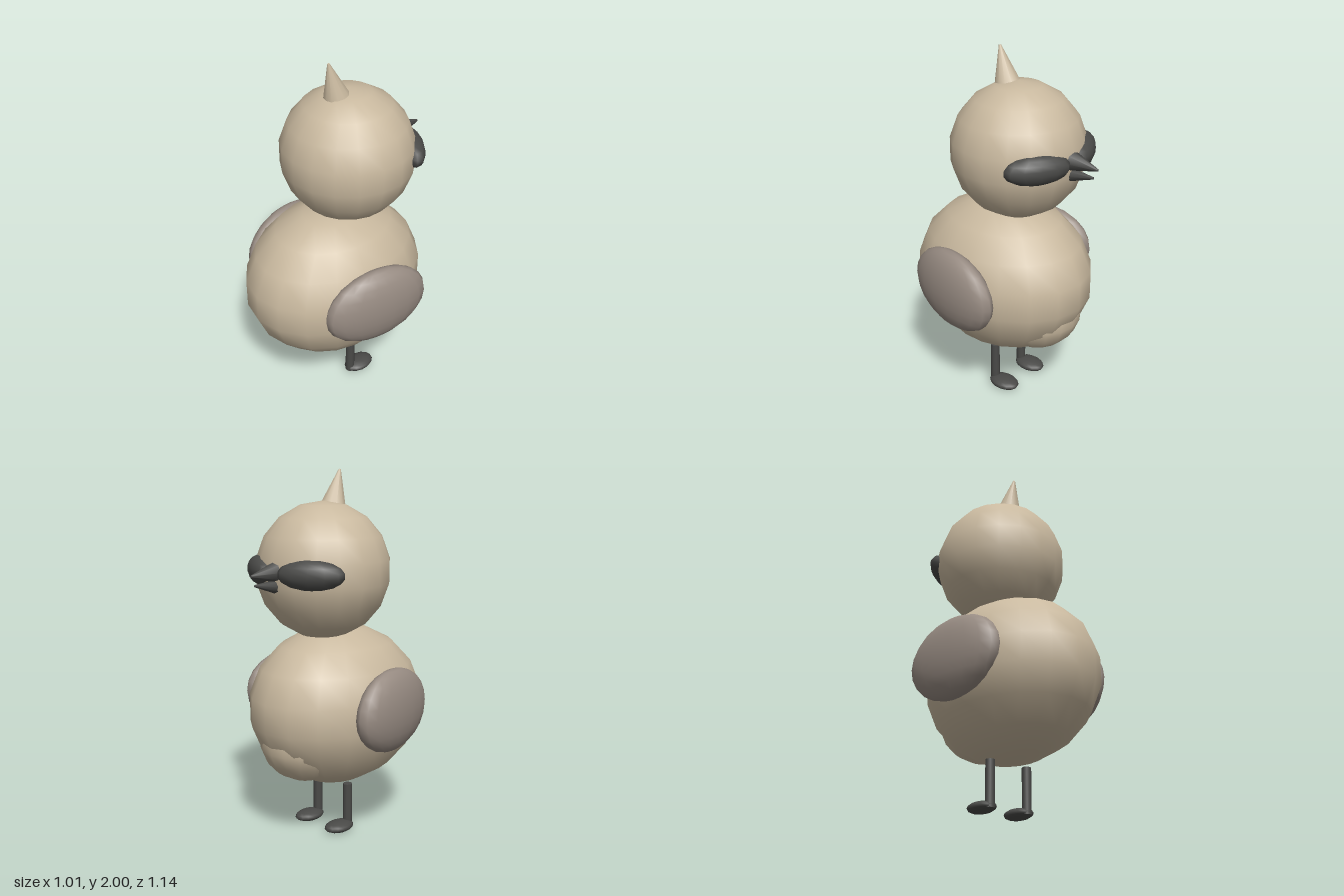
import * as THREE from 'three';

const material = (name, color) => {
  const m = new THREE.MeshStandardMaterial({ color });
  m.name = name;
  return m;
};

export function createModel() {
  const group = new THREE.Group();
  const tan = material('tan', 0xc9b99f);
  const taupe = material('taupe', 0x978b82);
  const charcoal = material('charcoal', 0x4a4a48);

  const add = (name, geometry, mat, position, rotation = [0, 0, 0]) => {
    const mesh = new THREE.Mesh(geometry, mat);
    mesh.name = name;
    mesh.position.set(...position);
    mesh.rotation.set(...rotation);
    group.add(mesh);
    return mesh;
  };

  // Smooth low-poly ellipsoid with a vertex line facing front and back
  const ellipsoid = (rx, ry, rz, w = 18, h = 9) =>
    new THREE.SphereGeometry(1, w, h, Math.PI / 2).scale(rx, ry, rz);

  // Cone whose base sits at one point and whose tip sits at another
  const cone = (name, mat, base, tip, radius, sides) => {
    const a = new THREE.Vector3(...base), b = new THREE.Vector3(...tip);
    const dir = b.clone().sub(a);
    const geometry = new THREE.CylinderGeometry(0.006, radius, dir.length(), sides);
    const mesh = add(name, geometry, mat, a.clone().add(b).multiplyScalar(0.5).toArray());
    mesh.quaternion.setFromUnitVectors(new THREE.Vector3(0, 1, 0), dir.normalize());
  };

  // Body, belly bulge and head; the bird looks toward -z
  add('body', ellipsoid(0.428, 0.45, 0.537), tan, [0, 0.714, 0.035]);
  add('belly', ellipsoid(0.25, 0.23, 0.26), tan, [0, 0.55, -0.2]);
  add('head', ellipsoid(0.367, 0.37, 0.367), tan, [0, 1.468, -0.066]);

  // Crest leaning away from the beak
  cone('crest', tan, [0, 1.81, 0.01], [0, 2.0, 0.06], 0.07, 12);

  // Two-part beak
  cone('upperBeak', charcoal, [0, 1.485, -0.41], [0, 1.475, -0.573], 0.055, 8);
  cone('lowerBeak', charcoal, [0, 1.41, -0.41], [0, 1.426, -0.548], 0.036, 8);

  // Paired parts
  for (const [side, s] of [['left', 1], ['right', -1]]) {
    add(side + 'EyeMask', ellipsoid(0.18, 0.08, 0.073, 12, 9), charcoal,
      [s * 0.19, 1.477, -0.34], [0, -s * 0.54, 0]);
    add(side + 'Wing', ellipsoid(0.1, 0.225, 0.31, 18, 12), taupe,
      [s * 0.395, 0.74, 0.06], [0, -s * 0.16, 0]);
    add(side + 'Leg', new THREE.CylinderGeometry(0.026, 0.026, 0.25, 10), charcoal,
      [s * 0.12, 0.14, 0.005]);
    add(side + 'Foot', ellipsoid(0.066, 0.03, 0.095, 14, 8), charcoal,
      [s * 0.12, 0.03, -0.063]);
  }
  return group;
}
